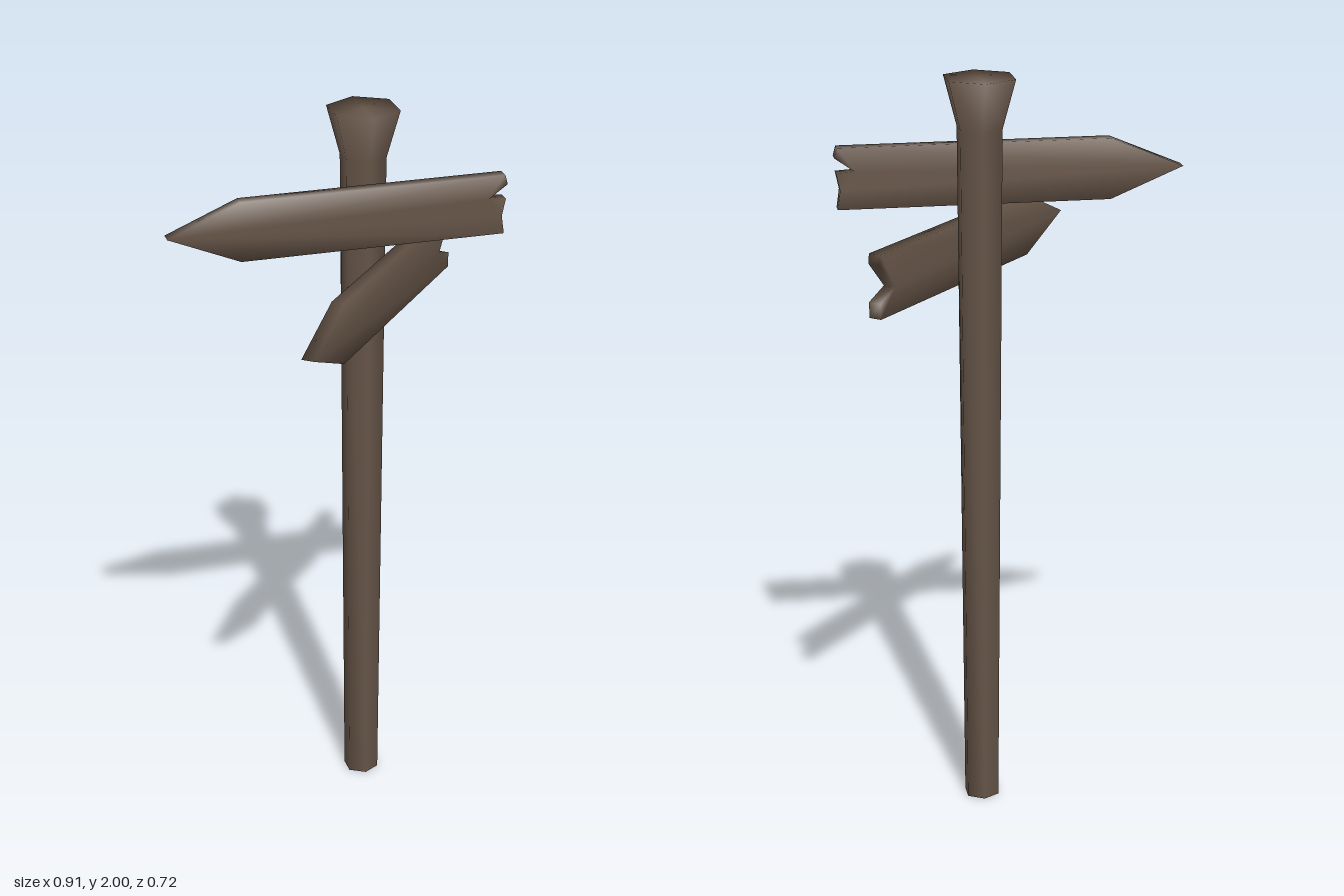
import * as THREE from 'three';
import { mergeVertices } from 'three/addons/utils/BufferGeometryUtils.js';

const wood = new THREE.MeshStandardMaterial({ color: 0x665548 });

// Weld the corners so shading runs smoothly over the low-poly shapes
function soften(geometry) {
  geometry.deleteAttribute('normal');
  geometry.deleteAttribute('uv');
  const welded = mergeVertices(geometry, 1e-4);
  welded.computeVertexNormals();
  return welded;
}

// Pointed plank with a broken tail, outline centred on its own middle
function makeBoard(name, outline, thickness) {
  const shape = new THREE.Shape(outline.map(([x, y]) => new THREE.Vector2(x, y)));
  const geometry = new THREE.ExtrudeGeometry(shape, { depth: thickness, bevelEnabled: false });
  geometry.translate(0, 0, -thickness / 2);
  const board = new THREE.Mesh(soften(geometry), wood);
  board.name = name;
  return board;
}

export function createModel() {
  const model = new THREE.Group();
  model.name = 'signpost';

  // Six-sided post, slightly wider upward, with a flared head
  const profile = [[0, 0], [0.049, 0], [0.0625, 1.87], [0.099, 2], [0, 2]];
  const post = new THREE.Mesh(
    soften(new THREE.LatheGeometry(profile.map(([r, y]) => new THREE.Vector2(r, y)), 6)),
    wood
  );
  post.name = 'post';
  post.position.set(0.092, 0, -0.128);
  model.add(post);

  // Upper board, flat across the front of the post
  const upper = makeBoard('upperBoard', [
    [-0.458, 0], [-0.265, -0.081], [0.45, -0.081], [0.443, -0.032], [0.453, 0.015],
    [0.405, 0.018], [0.457, 0.055], [0.45, 0.081], [-0.265, 0.081],
  ], 0.034);
  upper.position.set(0, 1.734, -0.043);
  model.add(upper);

  // Lower board, turned to point forward and to the side
  const lower = makeBoard('lowerBoard', [
    [-0.459, 0], [-0.27, -0.083], [0.457, -0.083], [0.459, -0.042],
    [0.39, -0.015], [0.459, 0.058], [0.455, 0.083], [-0.27, 0.083],
  ], 0.034);
  lower.position.set(0.098, 1.527, -0.001);
  lower.rotation.y = 0.872;
  model.add(lower);

  return model;
}
